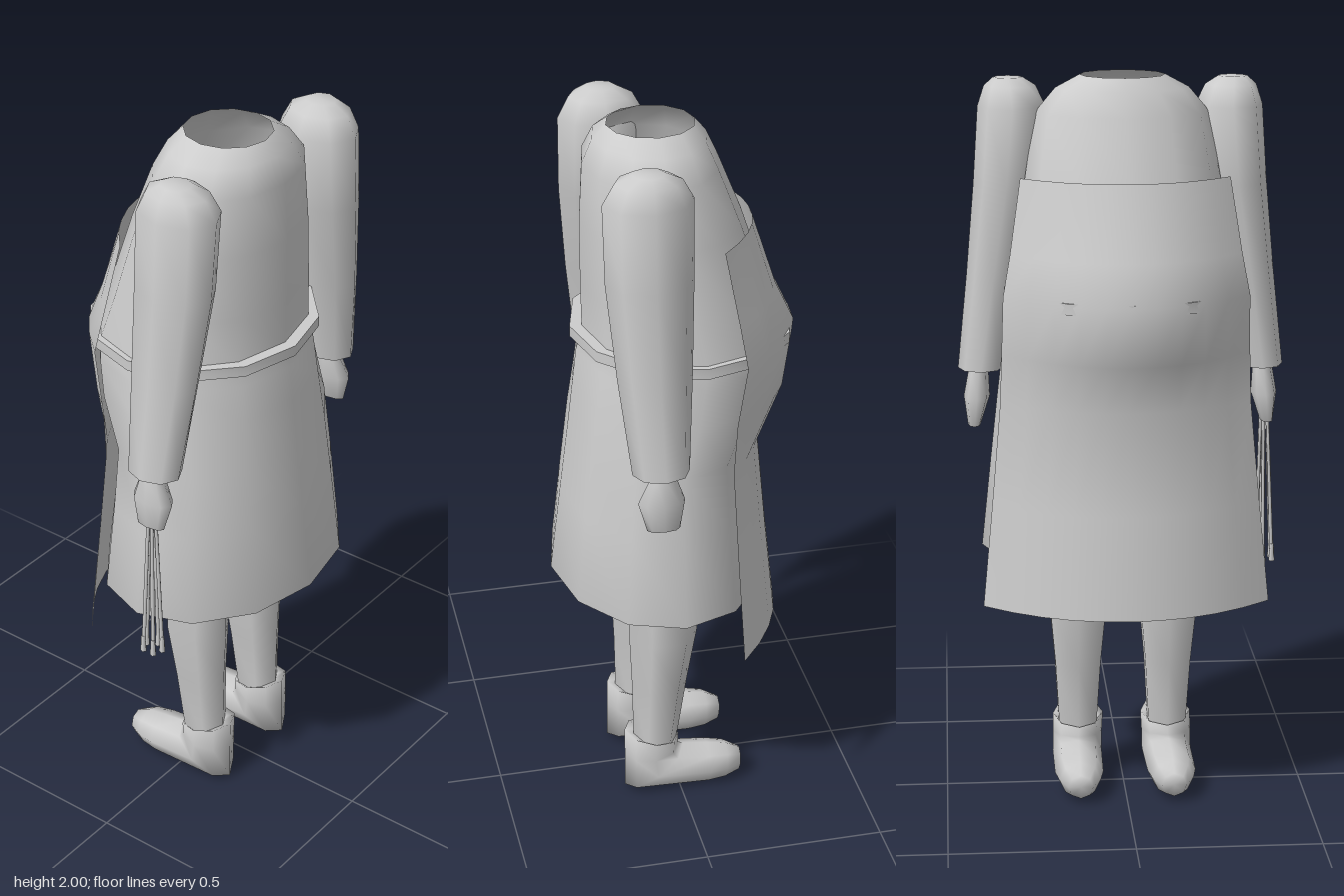
import * as THREE from 'three';
import { toCreasedNormals } from 'three/addons/utils/BufferGeometryUtils.js';

const grey = new THREE.MeshStandardMaterial({ color: 0xcccccc, side: THREE.DoubleSide });
grey.name = 'plain grey';

// Each ring is an ellipse: [yBack, zBack, yFront, zFront, halfWidth, centreX]
function loft(rings, sides, capTop = false, capEnd = false, crease = 0) {
  const pos = [], idx = [];
  for (const [ya, za, yb, zb, w, cx = 0] of rings) {
    for (let i = 0; i < sides; i++) {
      const t = (i / sides) * Math.PI * 2, c = Math.cos(t);
      pos.push(cx + w * Math.sin(t), (ya + yb) / 2 + ((ya - yb) / 2) * c, (za + zb) / 2 + ((za - zb) / 2) * c);
    }
  }
  for (let r = 0; r < rings.length - 1; r++) {
    for (let i = 0; i < sides; i++) {
      const j = (i + 1) % sides, a = r * sides, b = a + sides;
      idx.push(a + i, b + i, b + j, a + i, b + j, a + j);
    }
  }
  const cap = (r, flip) => {
    const [ya, za, yb, zb, , cx = 0] = rings[r];
    const m = pos.length / 3;
    pos.push(cx, (ya + yb) / 2, (za + zb) / 2);
    for (let i = 0; i < sides; i++) {
      const p = r * sides + i, q = r * sides + ((i + 1) % sides);
      idx.push(m, flip ? q : p, flip ? p : q);
    }
  };
  if (capTop) cap(0, false);
  if (capEnd) cap(rings.length - 1, true);
  return finish(pos, idx, crease);
}

function finish(pos, idx, crease) {
  const g = new THREE.BufferGeometry();
  g.setAttribute('position', new THREE.Float32BufferAttribute(pos, 3));
  g.setIndex(idx);
  g.computeVertexNormals();
  return crease ? toCreasedNormals(g, crease) : g;
}

// Level ring helper: height, back z, front z, half width, centre x
const level = (y, za, zb, w, cx = 0) => [y, za, y, zb, w, cx];

// Curved sheet across the front: rows of [y, halfWidth, edgeZ, middleZ]
function sheet(rows, cols) {
  const pos = [], idx = [];
  for (const [y, w, ze, zm] of rows) {
    for (let i = 0; i <= cols; i++) {
      const u = (i / cols) * 2 - 1;
      pos.push(w * u, y, ze + (zm - ze) * (1 - Math.abs(u) ** 2.1));
    }
  }
  for (let r = 0; r < rows.length - 1; r++) {
    for (let i = 0; i < cols; i++) {
      const a = r * (cols + 1) + i, b = a + cols + 1;
      idx.push(a, a + 1, b + 1, a, b + 1, b);
    }
  }
  return finish(pos, idx, 0);
}

export function createModel() {
  const model = new THREE.Group();
  model.name = 'apronFigure';
  const add = (name, geometry) => {
    const mesh = new THREE.Mesh(geometry, grey);
    mesh.name = name;
    model.add(mesh);
    return mesh;
  };

  // Dress: open neck, full belly, flared skirt with a turned hem
  add('dress', loft([
    level(2.0, 0.163, -0.07, 0.115),
    level(1.965, 0.2, -0.1, 0.18),
    level(1.9, 0.228, -0.13, 0.235),
    level(1.74, 0.237, -0.195, 0.262),
    level(1.56, 0.237, -0.255, 0.29),
    level(1.43, 0.235, -0.305, 0.31),
    level(1.37, 0.252, -0.305, 0.318),
    level(1.27, 0.264, -0.285, 0.33),
    level(1.13, 0.281, -0.215, 0.345),
    level(0.95, 0.304, -0.23, 0.365),
    level(0.7, 0.335, -0.26, 0.392),
    level(0.74, 0.295, -0.225, 0.355),
  ], 12));

  // Belt band
  add('belt', loft([
    level(1.44, 0.23, -0.3, 0.3),
    level(1.44, 0.268, -0.332, 0.325),
    level(1.41, 0.268, -0.332, 0.325),
    level(1.41, 0.23, -0.3, 0.3),
  ], 12, false, false, 0.6));

  // Apron
  add('apron', sheet([
    [1.74, 0.28, -0.085, -0.217],
    [1.54, 0.31, -0.12, -0.283],
    [1.43, 0.33, -0.137, -0.335],
    [1.27, 0.335, -0.11, -0.312],
    [1.13, 0.34, -0.1, -0.235],
    [0.85, 0.365, -0.112, -0.262],
    [0.57, 0.392, -0.125, -0.292],
  ], 10));

  for (const s of [1, -1]) {
    const side = s > 0 ? 'left' : 'right';

    // Sleeve
    add(side + 'Sleeve', loft([
      level(1.987, 0.16, 0.075, 0.04, s * 0.305),
      level(1.965, 0.205, 0.03, 0.07, s * 0.3),
      level(1.91, 0.235, 0.0, 0.092, s * 0.296),
      level(1.7, 0.233, 0.003, 0.088, s * 0.314),
      level(1.45, 0.212, 0.015, 0.072, s * 0.352),
      level(1.19, 0.182, 0.03, 0.063, s * 0.388),
      level(1.21, 0.15, 0.06, 0.04, s * 0.386),
    ], 8, true, true, 1.1));

    // Hand
    add(side + 'Hand', loft([
      level(1.23, 0.135, 0.07, 0.025, s * 0.39),
      level(1.18, 0.135, 0.07, 0.028, s * 0.395),
      level(1.11, 0.17, 0.045, 0.036, s * 0.4),
      level(1.03, 0.148, 0.06, 0.018, s * 0.408),
    ], 8, false, true));

    // Leg, open at the top
    add(side + 'Leg', loft([
      level(1.05, 0.14, -0.07, 0.1, s * 0.11),
      level(0.7, 0.14, -0.058, 0.085, s * 0.127),
      level(0.52, 0.14, -0.055, 0.09, s * 0.127),
      level(0.35, 0.133, -0.025, 0.073, s * 0.127),
      level(0.15, 0.13, 0.005, 0.06, s * 0.127),
    ], 6));

    // Shoe: rings turn from the ankle forward to the toe
    add(side + 'Shoe', loft([
      [0.18, 0.12, 0.155, 0.02, 0.055, s * 0.127],
      [0.2, 0.156, 0.165, -0.002, 0.071, s * 0.125],
      [0.12, 0.156, 0.135, 0.0, 0.07, s * 0.127],
      [0.012, 0.157, 0.13, -0.015, 0.07, s * 0.128],
      [0.005, -0.08, 0.122, -0.085, 0.068, s * 0.13],
      [0.008, -0.13, 0.112, -0.14, 0.058, s * 0.13],
      [0.02, -0.175, 0.09, -0.182, 0.035, s * 0.13],
    ], 8, false, true));
  }

  // Bundle of thin strands hanging from the right hand
  const up = new THREE.Vector3(0, 1, 0);
  for (let i = 0; i < 5; i++) {
    const a = (i / 5) * Math.PI * 2;
    const top = new THREE.Vector3(-0.402 + 0.008 * Math.cos(a), 1.1, 0.105 + 0.008 * Math.sin(a));
    const end = new THREE.Vector3(-0.408 + 0.024 * Math.cos(a), 0.63, 0.105 + 0.028 * Math.sin(a));
    const dir = top.clone().sub(end);
    const strand = add('strand', new THREE.CylinderGeometry(0.005, 0.006, dir.length(), 5));
    strand.position.copy(top).add(end).multiplyScalar(0.5);
    strand.quaternion.setFromUnitVectors(up, dir.normalize());
    const tip = add('strandTip', new THREE.CylinderGeometry(0.006, 0.009, 0.05, 5));
    tip.position.set(end.x, 0.645, end.z);
  }

  return model;
}
